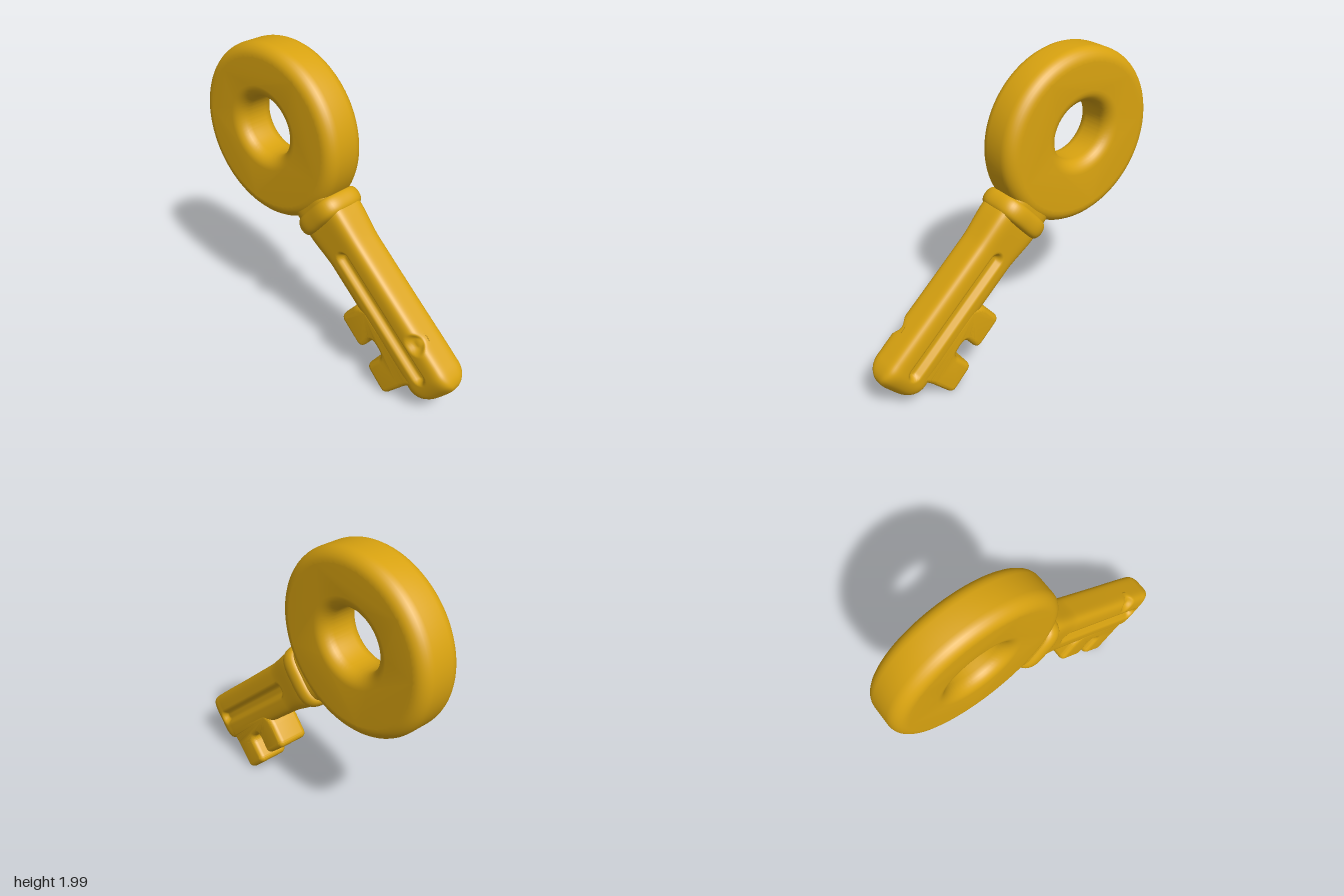
import * as THREE from 'three';
import { toCreasedNormals } from 'three/addons/utils/BufferGeometryUtils.js';

const AXIS_ANGLE = -42 * Math.PI / 180; // slope of the shaft
const AXIS_OFFSET = 0.768;              // shaft centre line across the slope

// Closed loft along x. Each section is [x, half width, half thickness].
function loft(sections, power, steps, around, carve) {
  const curve = new THREE.CatmullRomCurve3(sections.map(s => new THREE.Vector3(...s)));
  const rings = curve.getSpacedPoints(steps);
  const positions = [], index = [];
  rings.forEach((ring, i) => {
    for (let j = 0; j < around; j++) {
      const a = j / around * Math.PI * 2, c = Math.cos(a), s = Math.sin(a);
      const r = (Math.abs(c) ** power + Math.abs(s) ** power) ** (-1 / power);
      const y = r * c * Math.max(ring.y, 0);
      let z = r * s * Math.max(ring.z, 0);
      if (carve) z = carve(ring.x, y, z);
      positions.push(ring.x, y, z);
      if (i < steps) {
        const p = i * around + j, q = i * around + (j + 1) % around;
        index.push(p, q, p + around, q, q + around, p + around);
      }
    }
  });
  const g = new THREE.BufferGeometry();
  g.setAttribute('position', new THREE.Float32BufferAttribute(positions, 3));
  g.setIndex(index);
  g.computeVertexNormals();
  return g;
}

// Bevelled plate centred on z = 0
function plate(shape, halfDepth, bevel, bevelOffset) {
  const g = new THREE.ExtrudeGeometry(shape, {
    depth: 2 * (halfDepth - bevel), bevelEnabled: true, bevelThickness: bevel,
    bevelSize: bevel, bevelOffset, bevelSegments: 7, curveSegments: 72
  });
  g.translate(0, 0, -(halfDepth - bevel));
  return toCreasedNormals(g, 0.7);
}

// Polygon with rounded corners
function roundedShape(points, radius) {
  const shape = new THREE.Shape();
  const v = points.map(p => new THREE.Vector2(...p));
  v.forEach((p, i) => {
    const prev = v[(i + v.length - 1) % v.length], next = v[(i + 1) % v.length];
    const toward = q => p.clone().add(q.clone().sub(p).setLength(Math.min(radius, p.distanceTo(q) * 0.45)));
    const a = toward(prev), b = toward(next);
    if (i === 0) shape.moveTo(a.x, a.y); else shape.lineTo(a.x, a.y);
    shape.quadraticCurveTo(p.x, p.y, b.x, b.y);
  });
  shape.closePath();
  return shape;
}

// Groove on both faces and a small dent on the front upper edge
function carveShaft(x, y, z) {
  const along = x - THREE.MathUtils.clamp(x, -0.4, 0.41);
  const groove = 1 - THREE.MathUtils.smoothstep(Math.hypot(along, y + 0.003), 0.018, 0.052);
  let out = z;
  if (Math.abs(z) > 0.06) out -= Math.sign(z) * 0.035 * groove;
  if (z > 0.03) {
    const d = Math.hypot((x - 0.235) / 0.075, (y - 0.125) / 0.06);
    out -= 0.035 * (1 - THREE.MathUtils.smoothstep(d, 0.35, 1));
  }
  return out;
}

export function createModel() {
  const group = new THREE.Group();
  const gold = new THREE.MeshStandardMaterial({ color: 0xd9a310 });
  gold.name = 'gold';
  const add = (name, geometry, parent) => {
    const mesh = new THREE.Mesh(geometry, gold);
    mesh.name = name;
    parent.add(mesh);
    return mesh;
  };

  // Round bow with a hole
  const bevel = 0.08;
  const ring = new THREE.Shape();
  ring.absellipse(-0.422, 1.455, 0.563 - bevel, 0.545 - bevel, 0, Math.PI * 2);
  const hole = new THREE.Path();
  hole.absellipse(-0.435, 1.485, 0.198 + bevel, 0.184 + bevel, 0, Math.PI * 2, true);
  ring.holes.push(hole);
  add('bow', plate(ring, 0.14, bevel, 0), group);

  // Sloping stem
  const stem = new THREE.Group();
  stem.name = 'stem';
  stem.rotation.z = AXIS_ANGLE;
  stem.position.set(-Math.sin(AXIS_ANGLE) * AXIS_OFFSET, Math.cos(AXIS_ANGLE) * AXIS_OFFSET, 0);
  group.add(stem);

  add('shaft', loft([
    [-0.72, 0, 0], [-0.715, 0.165, 0.112], [-0.4, 0.163, 0.112], [0, 0.163, 0.112], [0.4, 0.165, 0.112],
    [0.48, 0.162, 0.109], [0.53, 0.148, 0.085], [0.565, 0.118, 0.045], [0.578, 0.07, 0.02], [0.58, 0, 0]
  ], 5, 170, 112, carveShaft), stem);

  add('collar', loft([
    [-0.765, 0, 0], [-0.762, 0.15, 0.12], [-0.745, 0.186, 0.152], [-0.7, 0.198, 0.163],
    [-0.655, 0.188, 0.154], [-0.632, 0.155, 0.12], [-0.628, 0, 0]
  ], 3.6, 48, 72), stem);

  add('neck', loft([
    [-0.9, 0, 0], [-0.895, 0.24, 0.125], [-0.84, 0.215, 0.13],
    [-0.79, 0.178, 0.132], [-0.73, 0.168, 0.13], [-0.72, 0, 0]
  ], 4, 40, 64), stem);

  // Two-toothed bit
  const bit = roundedShape([
    [0.31, 0.55], [0.185, 0.405], [0.355, 0.245], [0.435, 0.35], [0.465, 0.35], [0.53, 0.28],
    [0.405, 0.145], [0.555, -0.005], [0.715, 0.16], [0.8, 0.21], [0.4, 0.57]
  ], 0.045);
  add('bit', plate(bit, 0.109, 0.035, -0.035), group);

  return group;
}
